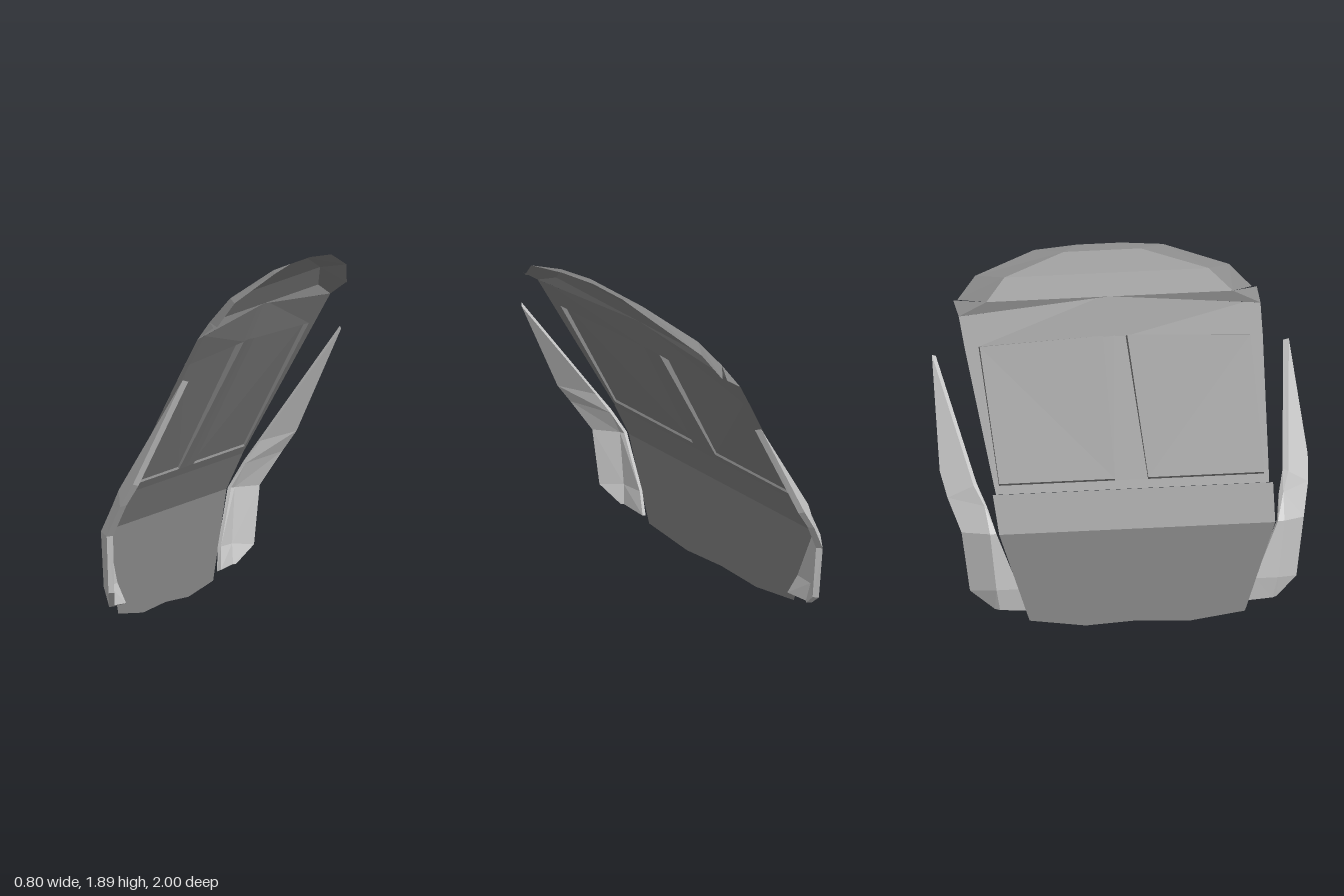
import * as THREE from 'three';

const makeMaterial = color => new THREE.MeshStandardMaterial({ color, flatShading: true, side: THREE.DoubleSide });
const bodyGrey = makeMaterial(0x898989);
const lampGrey = makeMaterial(0xcccccc);
const mirror = ([x, y, z]) => [x, y, -z];

// Faceted surface through rows of points; skip(i, j) leaves a cell open.
function loft(name, material, rows, skip = () => false) {
  const pos = [];
  for (let i = 0; i < rows.length - 1; i++) {
    for (let j = 0; j < rows[i].length - 1; j++) {
      if (skip(i, j)) continue;
      const a = rows[i][j], b = rows[i][j + 1], c = rows[i + 1][j + 1], d = rows[i + 1][j];
      pos.push(...a, ...b, ...c, ...a, ...c, ...d);
    }
  }
  const geometry = new THREE.BufferGeometry();
  geometry.setAttribute('position', new THREE.Float32BufferAttribute(pos, 3));
  geometry.computeVertexNormals();
  const mesh = new THREE.Mesh(geometry, material);
  mesh.name = name;
  return mesh;
}

// Extends a half row (centre to +z edge) to the full width.
const fullRow = half => [...half.slice(1).reverse().map(mirror), ...half];

export function createModel() {
  const group = new THREE.Group();
  group.name = 'rearBodyShell';

  // Lower panel: upright skirt that leans forward at the top
  const lower = [
    [[-0.4, 0.015, 0], [-0.4, 0.0, 0.28], [-0.4, 0.04, 0.585]],
    [[-0.4, 0.505, 0], [-0.4, 0.505, 0.37], [-0.4, 0.505, 0.75]],
    [[-0.31, 0.702, 0], [-0.31, 0.702, 0.38], [-0.31, 0.702, 0.762]],
  ];
  group.add(loft('lowerPanel', bodyGrey, lower.map(fullRow)));

  // Sloping upper panel with two window openings
  const upper = [
    [-0.304, [0.702, 0.702, 0.702, 0.702], [0, 0.09, 0.72, 0.742]],
    [-0.28, [0.745, 0.745, 0.745, 0.745], [0, 0.09, 0.72, 0.747]],
    [0.085, [1.45, 1.445, 1.425, 1.42], [0, 0.065, 0.735, 0.81]],
    [0.17, [1.645, 1.64, 1.582, 1.575], [0, 0.065, 0.735, 0.82]],
  ].map(([x, ys, zs]) => zs.map((z, k) => [x, ys[k], z]));
  group.add(loft('upperPanel', bodyGrey, upper.map(fullRow), (i, j) => i === 1 && (j === 1 || j === 4)));

  // Window panes, standing slightly proud of their openings
  const sill = upper[1].slice(1, 3), head = upper[2].slice(1, 3);
  const paneFoot = [[-0.287, 0.755, 0.09], [-0.287, 0.755, 0.72]];
  const paneTop = [[0.055, 1.458, 0.065], [0.06, 1.428, 0.735]];
  for (const [side, f] of [['left', p => p], ['right', mirror]]) {
    group.add(loft(side + 'WindowPane', bodyGrey, [sill, paneFoot, paneTop, head].map(r => r.map(f))));
    // Narrow cheeks between pane and opening
    for (const k of [0, 1]) {
      const cheek = [[paneFoot[k], sill[k]], [paneTop[k], head[k]]];
      group.add(loft(side + 'WindowCheek', bodyGrey, cheek.map(r => r.map(f))));
    }

    // Folded corner joining the upper panel to the spoiler
    const centre = [0.17, 1.645, 0], corner = [0.17, 1.575, 0.82];
    const inner = [0.17, 1.645, 0.67], tip = [0.265, 1.645, 0.825];
    const fold = [[centre, inner, tip], [corner, corner, corner]];
    group.add(loft(side + 'SpoilerCorner', bodyGrey, fold.map(r => r.map(f))));
  }

  // Spoiler: stepped arch face with an outer rim band
  const arch = [[0.17, 1.645, 0.67], [0.235, 1.76, 0.555], [0.325, 1.865, 0.21]];
  const rim = [[0.275, 1.645, 0.8], [0.325, 1.76, 0.69], [0.397, 1.87, 0.35], [0.385, 1.89, 0.12]];
  group.add(loft('spoilerFace', bodyGrey, arch.map(p => [p, mirror(p)])));
  const archBand = [...arch, arch[2]], around = h => [...h, ...h.slice().reverse().map(mirror)];
  group.add(loft('spoilerRim', bodyGrey, [around(archBand), around(rim)]));

  // Side lamps: thin folded slabs, each section running round the slab:
  // inner flange, outer front fold, outer edge, then back along the inside
  const top = [0.155, 1.38, 0.97], topBack = [0.175, 1.37, 0.943];
  const sections = [
    [top, top, top, topBack, topBack, topBack],
    [[-0.27, 0.75, 0.855], [-0.27, 0.75, 0.855], [-0.12, 0.81, 1.0],
      [-0.1, 0.8, 0.975], [-0.24, 0.76, 0.832], [-0.24, 0.76, 0.832]],
    [[-0.33, 0.65, 0.812], [-0.33, 0.65, 0.812], [-0.205, 0.68, 0.98],
      [-0.175, 0.69, 0.96], [-0.31, 0.64, 0.792], [-0.31, 0.64, 0.792]],
    [[-0.4, 0.51, 0.765], [-0.4, 0.51, 0.8], [-0.305, 0.51, 0.93],
      [-0.28, 0.51, 0.905], [-0.37, 0.51, 0.787], [-0.38, 0.51, 0.763]],
    [[-0.4, 0.21, 0.64], [-0.4, 0.21, 0.765], [-0.315, 0.2, 0.887],
      [-0.293, 0.2, 0.862], [-0.37, 0.215, 0.755], [-0.38, 0.215, 0.638]],
    [[-0.38, 0.09, 0.59], [-0.38, 0.1, 0.74], [-0.368, 0.105, 0.765],
      [-0.345, 0.108, 0.75], [-0.355, 0.11, 0.735], [-0.355, 0.1, 0.585]],
  ].map(s => [...s, s[0]]);
  const last = sections[5];
  const cap = [[last[0], last[1], last[2]], [last[5], last[4], last[3]]];
  for (const [side, f] of [['left', p => p], ['right', mirror]]) {
    group.add(loft(side + 'SideLamp', lampGrey, sections.map(s => s.map(f))));
    group.add(loft(side + 'SideLampFoot', lampGrey, cap.map(s => s.map(f))));
  }
  return group;
}
